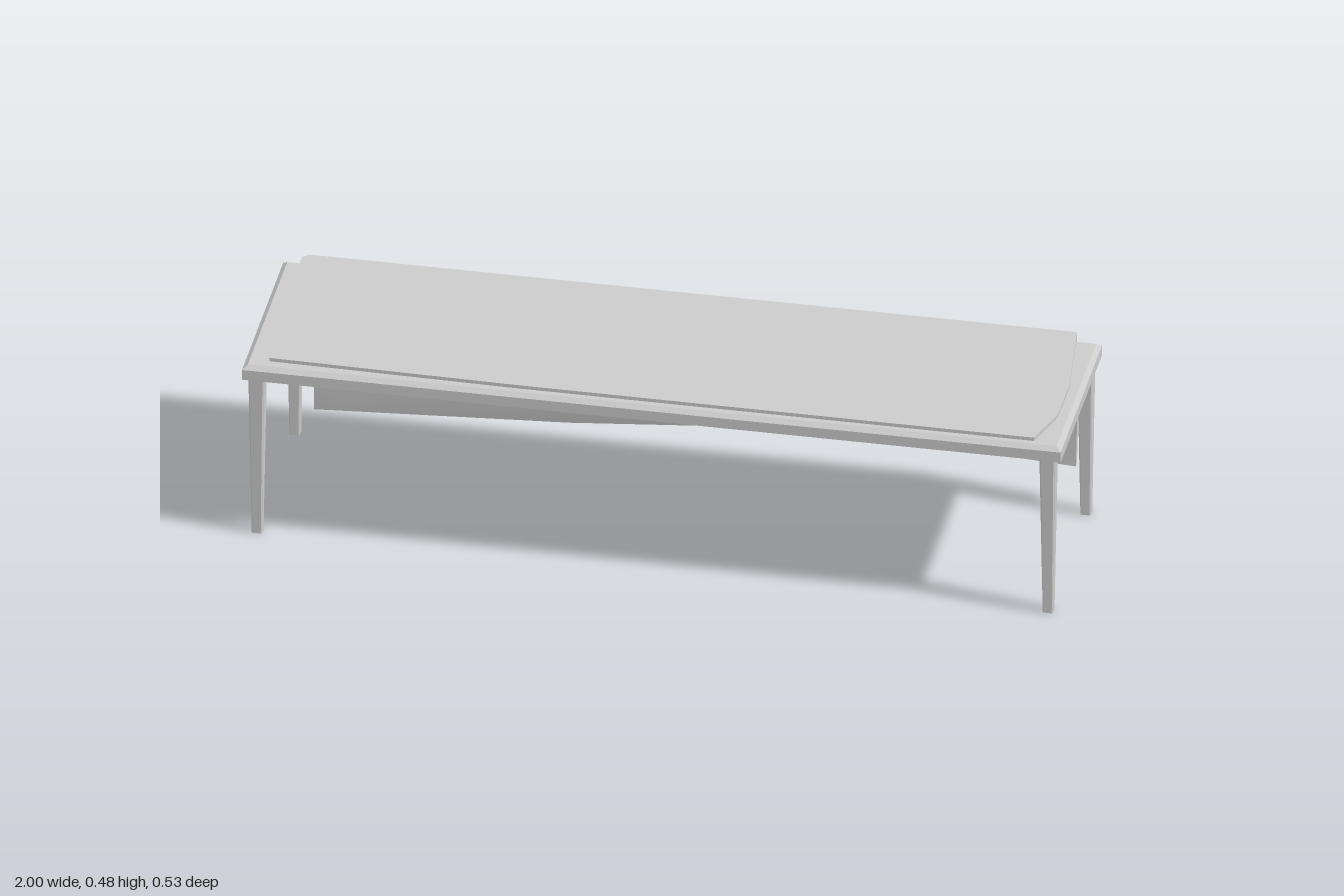
import * as THREE from 'three';

const material = new THREE.MeshStandardMaterial({ color: 0xcccccc, side: THREE.DoubleSide });

function addMesh(parent, name, geometry) {
  const mesh = new THREE.Mesh(geometry, material);
  mesh.name = name;
  parent.add(mesh);
  return mesh;
}

// Rewrites every vertex of a geometry by a rule, then refreshes the normals.
function reshape(geometry, rule) {
  const pos = geometry.attributes.position;
  const v = new THREE.Vector3();
  for (let i = 0; i < pos.count; i++) {
    v.fromBufferAttribute(pos, i);
    rule(v);
    pos.setXYZ(i, v.x, v.y, v.z);
  }
  geometry.computeVertexNormals();
  return geometry;
}

function polygon(points) {
  return new THREE.Shape(points.map(([x, y]) => new THREE.Vector2(x, y)));
}

function rectangle(hx, hy) {
  return [[-hx, -hy], [hx, -hy], [hx, hy], [-hx, hy]];
}

// Extrudes a plan outline (x, -z) upward from y0 to y1.
function slab(shape, y0, y1) {
  const geometry = new THREE.ExtrudeGeometry(shape, { depth: y1 - y0, bevelEnabled: false });
  return geometry.rotateX(-Math.PI / 2).translate(0, y0, 0);
}

// Square leg with small chamfers, tapering to the foot.
function legGeometry(height, topHalf, footHalf) {
  const h = topHalf, c = topHalf - 0.004;
  const outline = polygon([[-c, -h], [c, -h], [h, -c], [h, c], [c, h], [-c, h], [-h, c], [-h, -c]]);
  return reshape(slab(outline, 0, height), (v) => {
    const s = THREE.MathUtils.lerp(footHalf / topHalf, 1, v.y / height);
    v.x *= s;
    v.z *= s;
  });
}

export function createModel() {
  const model = new THREE.Group();
  model.name = 'drapedTable';

  // Table
  const table = new THREE.Group();
  table.name = 'table';
  table.position.z = 0.009;
  model.add(table);

  const railShape = polygon(rectangle(1, 0.256));
  railShape.holes.push(new THREE.Path(polygon(rectangle(0.955, 0.213)).getPoints()));
  addMesh(table, 'rails', slab(railShape, 0.43, 0.457));

  // Top board with a sloped rim
  const board = new THREE.BoxGeometry(2, 0.01, 0.512).translate(0, 0.462, 0);
  reshape(board, (v) => {
    if (v.y > 0.462) {
      v.x -= Math.sign(v.x) * 0.012;
      v.z -= Math.sign(v.z) * 0.012;
    }
  });
  addMesh(table, 'topBoard', board);

  const leg = legGeometry(0.432, 0.0195, 0.0125);
  for (const [zName, sz] of [['front', 1], ['back', -1]]) {
    for (const [xName, sx] of [['Left', 1], ['Right', -1]]) {
      addMesh(table, `${zName}${xName}Leg`, leg).position.set(sx * 0.966, 0, sz * 0.2335);
    }
  }

  // Cloth lying on the board; outline given as (x, -z)
  const cloth = new THREE.Group();
  cloth.name = 'cloth';
  model.add(cloth);
  const clothOutline = polygon([
    [-0.94, -0.228], [-0.33, -0.238], [0.93, -0.24], [0.965, -0.12], [0.965, 0.02],
    [0.935, 0.265], [-0.94, 0.265], [-0.955, 0.25], [-0.955, 0],
  ]);
  addMesh(cloth, 'clothTop', slab(clothOutline, 0.466, 0.476));

  // Hanging cloth: rows from hem to top, columns along x, billowing inward in the middle
  const rowsX = [[-0.925, -0.3, 0.32, 0.935], [-0.925, -0.3, 0.32, 0.94], [-0.94, -0.3, 0.32, 0.935]];
  const rowsY = [[0.055, 0.093, 0.155, 0.11], [0.27, 0.29, 0.305, 0.29], [0.47, 0.47, 0.47, 0.47]];
  const billow = [[0, 0.006, 0.018, 0], [0, 0.035, 0.06, 0], [0, 0, 0, 0]];
  const drape = new THREE.BoxGeometry(3, 2, 1, 3, 2, 1);
  reshape(drape, (v) => {
    const col = Math.round(v.x + 1.5), row = Math.round(v.y + 1);
    const z = (v.z > 0 ? -0.25 : -0.265) + billow[row][col];
    v.set(rowsX[row][col], rowsY[row][col], z);
  });
  addMesh(cloth, 'clothDrape', drape);

  return model;
}
